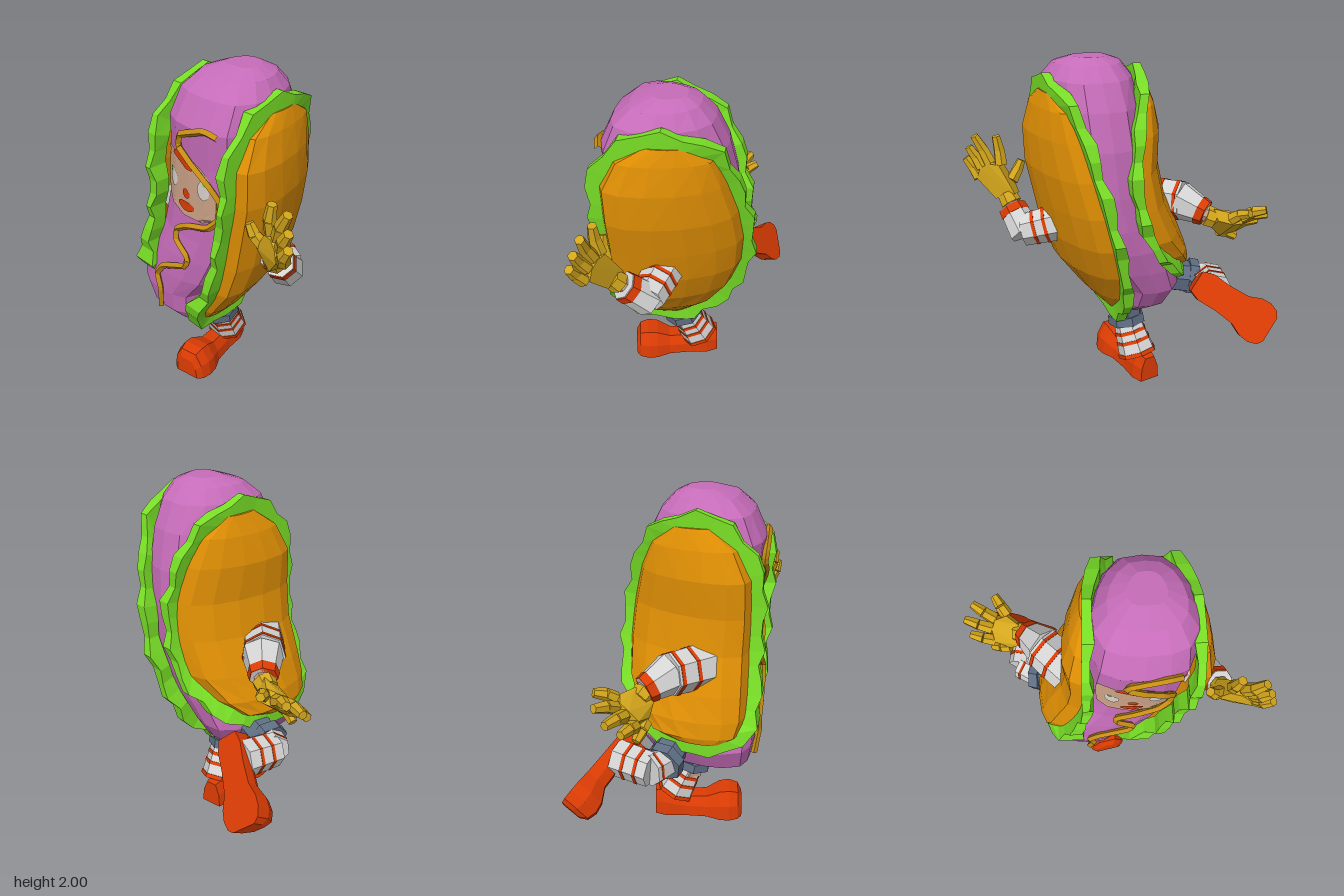
import * as THREE from 'three';
import { ConvexGeometry } from 'three/addons/geometries/ConvexGeometry.js';

const paint = (name, color, side = THREE.FrontSide) => {
  const m = new THREE.MeshStandardMaterial({ color, side });
  m.name = name;
  return m;
};
const V = (a) => new THREE.Vector3(...a);
const mix = THREE.MathUtils.lerp;

// Facet a grid of points; volumes are turned outward automatically
function skin(rows, { closed = false, caps = false, loop = false, orient = true } = {}) {
  const tris = [], n = rows[0].length, R = rows.length;
  for (let i = 0; i < (loop ? R : R - 1); i++) {
    const p = rows[i], q = rows[(i + 1) % R];
    for (let j = 0; j < (closed ? n : n - 1); j++) {
      const k = (j + 1) % n;
      tris.push([p[j], q[j], p[k]], [p[k], q[j], q[k]]);
    }
  }
  if (caps) for (let j = 1; j < n - 1; j++) {
    const a = rows[0], b = rows[R - 1];
    tris.push([a[0], a[j], a[j + 1]], [b[0], b[j + 1], b[j]]);
  }
  if (orient) {
    const c = new THREE.Vector3();
    rows.flat().forEach((p) => c.addScaledVector(V(p), 1 / (n * R)));
    let vol = 0;
    for (const t of tris) {
      const [a, b, d] = t.map((p) => V(p).sub(c));
      vol += a.dot(b.cross(d));
    }
    if (vol < 0) tris.forEach((t) => t.reverse());
  }
  const g = new THREE.BufferGeometry();
  g.setAttribute('position', new THREE.Float32BufferAttribute(tris.flat(2), 3));
  g.computeVertexNormals();
  return g;
}

// Sausage rows: y, centre x, half width, front z, back z
const BODY = [
  [2.0, .17, .09, .17, .0], [1.965, .17, .18, .28, -.07], [1.89, .165, .24, .37, -.14],
  [1.75, .155, .26, .44, -.21], [1.55, .14, .265, .43, -.26], [1.3, .12, .27, .43, -.28],
  [1.1, .07, .27, .44, -.28], [.95, 0, .28, .46, -.27], [.8, -.07, .28, .47, -.24],
  [.65, -.145, .23, .47, -.2], [.52, -.13, .19, .45, -.12], [.44, -.08, .11, .38, 0], [.415, -.06, .04, .28, .1]];
const HALF = [[0, 1], [.45, .97], [.8, .85], [1, .5], [1.02, .1], [.9, -.35], [.7, -.7], [.4, -.95], [0, -1]];
const RING = [...HALF, ...HALF.slice(1, -1).reverse().map(([u, v]) => [-u, v])];

// Depth of the sausage front at x, y
function frontZ(x, y) {
  let i = 0;
  while (i < BODY.length - 2 && BODY[i + 1][0] > y) i++;
  const A = BODY[i], B = BODY[i + 1], t = (y - A[0]) / (B[0] - A[0]);
  const [, cx, rx, zf, zr] = A.map((a, k) => mix(a, B[k], t));
  const u = Math.min(Math.abs(x - cx) / rx, .999);
  let j = 0;
  while (HALF[j + 1][0] < u) j++;
  const v = mix(HALF[j][1], HALF[j + 1][1], (u - HALF[j][0]) / (HALF[j + 1][0] - HALF[j][0]));
  return (zf + zr) / 2 + v * (zf - zr) / 2;
}

// Bun rows: y, front rim x, outermost x, back rim x, front z, back z
const BUNS = {
  left: [
    [1.83, .42, .44, .4, .18, -.02], [1.75, .425, .47, .34, .33, -.16], [1.6, .42, .5, .29, .41, -.22],
    [1.4, .41, .49, .24, .41, -.28], [1.2, .37, .45, .19, .41, -.31], [1.0, .33, .41, .14, .41, -.3],
    [.8, .27, .34, .09, .41, -.24], [.6, .15, .21, .05, .39, -.12], [.5, .09, .13, .04, .34, 0], [.45, .06, .08, .04, .26, .06]],
  right: [
    [1.85, -.11, -.14, -.1, .18, -.02], [1.75, -.12, -.19, -.05, .33, -.15], [1.6, -.13, -.23, -.01, .41, -.22],
    [1.4, -.13, -.22, .02, .42, -.27], [1.2, -.15, -.26, -.01, .42, -.29], [1.0, -.21, -.35, -.09, .43, -.28],
    [.86, -.27, -.41, -.22, .43, -.2], [.77, -.33, -.43, -.32, .4, -.1], [.73, -.385, -.42, -.375, .3, .05]] };

export function createModel() {
  const purple = paint('sausage purple', 0xc66cb9), bunMat = paint('bun orange', 0xde8e04, THREE.DoubleSide);
  const green = paint('lettuce green', 0x78de26), red = paint('boot red', 0xdc3c04);
  const gold = paint('glove gold', 0xd2a51c), mustard = paint('mustard', 0xc68e14);
  const white = paint('sock white', 0xd4d4d4), slate = paint('shorts slate', 0x5f6e84);
  const tan = paint('skin tan', 0xcba186), pale = paint('eye white', 0xd9d2cd);
  const model = new THREE.Group();
  const add = (name, geo, mat, parent = model) => {
    const m = new THREE.Mesh(geo, mat);
    m.name = name;
    parent.add(m);
    return m;
  };
  const group = (name) => {
    const g = new THREE.Group();
    g.name = name;
    model.add(g);
    return g;
  };

  // Sausage body
  add('sausage', skin(BODY.map(([y, cx, rx, zf, zr]) => RING.map(([u, v]) =>
    [cx + u * rx, y, (zf + zr) / 2 + v * (zf - zr) / 2])), { closed: true, caps: true }), purple);

  // Bun halves with a ragged lettuce leaf along each rim
  for (const [side, rows] of Object.entries(BUNS)) {
    const s = side === 'left' ? 1 : -1;
    add(side + 'Bun', skin(rows.map(([y, xf, xo, xr, zf, zr]) => Array.from({ length: 8 }, (_, j) => {
      const a = j / 7 * Math.PI, t = (1 - Math.cos(a)) / 2;
      return [mix(xf, xr, t) + (xo - (xf + xr) / 2) * Math.sin(a) ** .8, y, mix(zf, zr, t)];
    })), { caps: true }), bunMat);
    const rim = new THREE.CatmullRomCurve3([...rows.map((r) => new THREE.Vector3(r[1], r[0], r[4])),
      ...rows.slice().reverse().map((r) => new THREE.Vector3(r[3], r[0], r[5]))], true);
    const N = 40, sections = [];
    for (let i = 0; i < N; i++) {
      const p = rim.getPointAt(i / N), t = rim.getTangentAt(i / N);
      const l = Math.hypot(t.y, t.z), ny = t.z / l, nz = -t.y / l;
      // the leaf spreads towards the bottom
      const low = 1 - THREE.MathUtils.smoothstep(p.y, s > 0 ? .6 : .75, s > 0 ? .95 : 1.1);
      const out = .05 + (nz > 0 ? .012 : .025 * low) + .018 * Math.sin(i * 2.3);
      const width = p.z > .1 ? .03 + (s > 0 ? .06 : .1) * low : .04;
      const xi = p.x - s * (width + .013 * Math.sin(i * 1.9)), xo = p.x + s * .018;
      const at = (x, d) => [x, p.y + ny * d, p.z + nz * d];
      sections.push([at(xo, -.03), at(xo, out), at(xi, out), at(xi, -.03)]);
    }
    add(side + 'Lettuce', skin(sections, { closed: true, loop: true }), green);
  }

  // Mustard squiggle lying on the sausage front
  const drip = [[.33, 1.745], [.26, 1.765], [.09, 1.7], [.07, 1.63], [.16, 1.565], [.27, 1.475], [.32, 1.395],
    [.31, 1.28], [.25, 1.22], [.126, 1.19], [.03, 1.135], [.03, 1.066], [.126, .99], [.1, .93], [-.07, .855],
    [-.13, .775], [-.105, .68], [-.135, .53]].map(([x, y]) => new THREE.Vector3(x, y, frontZ(x, y) + .018));
  const line = new THREE.TubeGeometry(new THREE.CatmullRomCurve3(drip, false, 'catmullrom', .12), 68, .019, 4).toNonIndexed();
  line.computeVertexNormals();
  add('mustardLine', line, mustard);

  // Face plates wrapped on the sausage: rows of y, left x, right x
  const face = group('face');
  const plate = (name, rows, lift, mat) => add(name, skin(rows.map(([y, a, b]) => Array.from({ length: 13 }, (_, j) => {
    const x = mix(a, b, j / 12);
    return [x, y, frontZ(x, y) + lift];
  })), { orient: false }), mat, face);
  const oval = (x, y, rx, ry, dip = 0) => Array.from({ length: 9 }, (_, i) => {
    const a = i / 8 * Math.PI, w = rx * Math.sin(a) * (1 - dip * i / 8);
    return [y + ry * Math.cos(a), x - w, x + w];
  });
  plate('faceSkin', [[1.59, -.06, .14], [1.55, -.075, .22], [1.48, -.08, .28], [1.4, -.08, .33], [1.31, -.075, .34],
    [1.27, -.02, .3], [1.24, .07, .21]], .009, tan);
  for (const x of [0, .23]) {
    plate('eye', oval(x, 1.43, .038, .052), .013, pale);
    plate('iris', oval(x + (x ? .015 : -.01), 1.475, .012, .014), .016, green);
  }
  plate('nose', oval(.11, 1.375, .028, .028), .014, red);
  plate('mouth', oval(.105, 1.3, .075, .028, .35), .014, red);
  plate('hair', [[1.6, .03, .1], [1.575, .01, .15], [1.55, .06, .18], [1.52, .12, .16]], .016, red);

  // Faceted tapered tube between two points
  const tube = (name, p, q, r0, r1, mat, parent, sides = 7) => {
    const a = V(p), b = V(q), d = b.clone().sub(a);
    const g = new THREE.CylinderGeometry(r1, r0, d.length(), sides).toNonIndexed();
    g.computeVertexNormals();
    const m = add(name, g, mat, parent);
    m.position.copy(a).add(b).multiplyScalar(.5);
    m.quaternion.setFromUnitVectors(new THREE.Vector3(0, 1, 0), d.normalize());
  };
  // White sleeve or sock with red rings given as [fraction along, half width]
  const striped = (name, p, q, r0, r1, rings, parent) => {
    tube(name, p, q, r0, r1, white, parent);
    const at = (t) => p.map((c, i) => mix(c, q[i], t));
    for (const [t, h] of rings) {
      tube('stripe', at(t - h), at(t + h), mix(r0, r1, t - h) + .004, mix(r0, r1, t + h) + .004, red, parent);
    }
  };
  // Glove: convex palm plus jointed fingers, the last one being the thumb
  const hand = (wrist, normal, side, fingers, parent) => {
    const n = V(normal).normalize().multiplyScalar(.038), w = V(wrist), e = V(side).normalize().multiplyScalar(.062);
    const pts = [1, -1].flatMap((k) => [w.clone().addScaledVector(n, k).add(e), w.clone().addScaledVector(n, k).sub(e),
      ...fingers.map(([b]) => V(b).addScaledVector(n, k))]);
    add('palm', new ConvexGeometry(pts), gold, parent);
    for (const [b, t] of fingers) {
      const m = b.map((c, i) => mix(c, t[i], .5) + n.getComponent(i) * .3);
      tube('fingerBase', b, m, .038, .034, gold, parent, 6);
      tube('fingerTip', m, t, .034, .025, gold, parent, 6);
    }
  };

  const leftArm = group('leftArm');
  striped('upperSleeve', [.35, 1.06, .1], [.57, 1.01, .16], .11, .095, [[.4, .04], [.68, .04]], leftArm);
  striped('lowerSleeve', [.555, .99, .15], [.61, 1.12, .27], .095, .078, [[.84, .13]], leftArm);
  tube('wrist', [.6, 1.1, .26], [.615, 1.17, .32], .045, .04, tan, leftArm);
  tube('gloveCuff', [.605, 1.13, .295], [.625, 1.18, .33], .062, .055, gold, leftArm);
  hand([.62, 1.17, .33], [-.5, -.2, .86], [.86, -.3, .45], [
    [[.64, 1.35, .365], [.655, 1.52, .385]], [[.7, 1.36, .385], [.775, 1.525, .41]],
    [[.745, 1.33, .405], [.81, 1.455, .44]], [[.765, 1.27, .415], [.83, 1.385, .46]],
    [[.585, 1.25, .36], [.515, 1.36, .39]]], leftArm);

  const rightArm = group('rightArm');
  striped('upperSleeve', [-.2, 1.12, .19], [-.38, 1.13, .02], .13, .12, [[.5, .04], [.9, .04]], rightArm);
  striped('lowerSleeve', [-.36, 1.13, .03], [-.48, 1.075, -.09], .12, .075, [[.87, .13]], rightArm);
  tube('wrist', [-.46, 1.08, -.08], [-.52, 1.05, -.11], .05, .045, tan, rightArm);
  tube('gloveCuff', [-.48, 1.06, -.09], [-.53, 1.04, -.11], .065, .06, gold, rightArm);
  hand([-.52, 1.04, -.1], [.1, .75, .6], [0, .6, -.75], [
    [[-.68, 1.03, -.14], [-.835, 1.06, -.19]], [[-.66, 1.06, -.19], [-.785, 1.12, -.26]],
    [[-.59, 1.07, -.21], [-.655, 1.13, -.305]], [[-.67, .97, -.09], [-.81, 1.0, -.12]],
    [[-.58, .94, -.06], [-.69, .89, -.08]]], rightArm);

  // Boot stations from heel to toe: z, half width, height
  const bootGeo = skin([[-.27, .07, .16], [-.2, .095, .17], [-.08, .09, .12], [.05, .1, .125], [.13, .135, .17],
    [.19, .14, .18], [.245, .12, .165], [.27, .085, .12]].map(([z, w, h]) =>
    [[-w, 0], [-w * .9, h * .55], [-w * .5, h], [w * .5, h], [w * .9, h * .55], [w, 0]].map(([x, y]) => [x, y, z])),
  { closed: true, caps: true });

  const leftLeg = group('standingLeg');
  tube('shorts', [-.04, .5, .09], [-.045, .35, .085], .1, .1, slate, leftLeg);
  tube('shortsCuff', [-.04, .375, .09], [-.045, .32, .08], .115, .118, slate, leftLeg);
  tube('knee', [-.045, .36, .08], [-.055, .28, .06], .085, .092, tan, leftLeg);
  striped('sock', [-.05, .31, .06], [-.085, .13, -.02], .092, .122, [[.22, .05], [.52, .05], [.93, .06]], leftLeg);
  const standing = add('boot', bootGeo, red, leftLeg);
  standing.position.set(-.07, 0, .13);
  standing.rotation.y = .2;
  standing.scale.x = .9;

  const rightLeg = group('raisedLeg');
  tube('shorts', [-.28, .64, .03], [-.44, .61, .0], .1, .1, slate, rightLeg);
  tube('shortsCuff', [-.42, .615, .015], [-.475, .605, .0], .115, .112, slate, rightLeg);
  striped('upperSock', [-.44, .61, .01], [-.55, .615, -.06], .09, .098, [[.75, .05]], rightLeg);
  striped('lowerSock', [-.54, .615, -.04], [-.49, .63, -.25], .1, .108, [[.3, .04], [.65, .04]], rightLeg);
  const raised = add('boot', bootGeo, red, rightLeg);
  const toe = V([-.72, -.51, -.47]).normalize(), across = V([-.2, -.5, .86]).cross(toe).normalize();
  raised.quaternion.setFromRotationMatrix(new THREE.Matrix4().makeBasis(across, toe.clone().cross(across), toe));
  raised.position.set(-.555, .585, -.37);
  raised.scale.setScalar(.96);

  return model;
}
